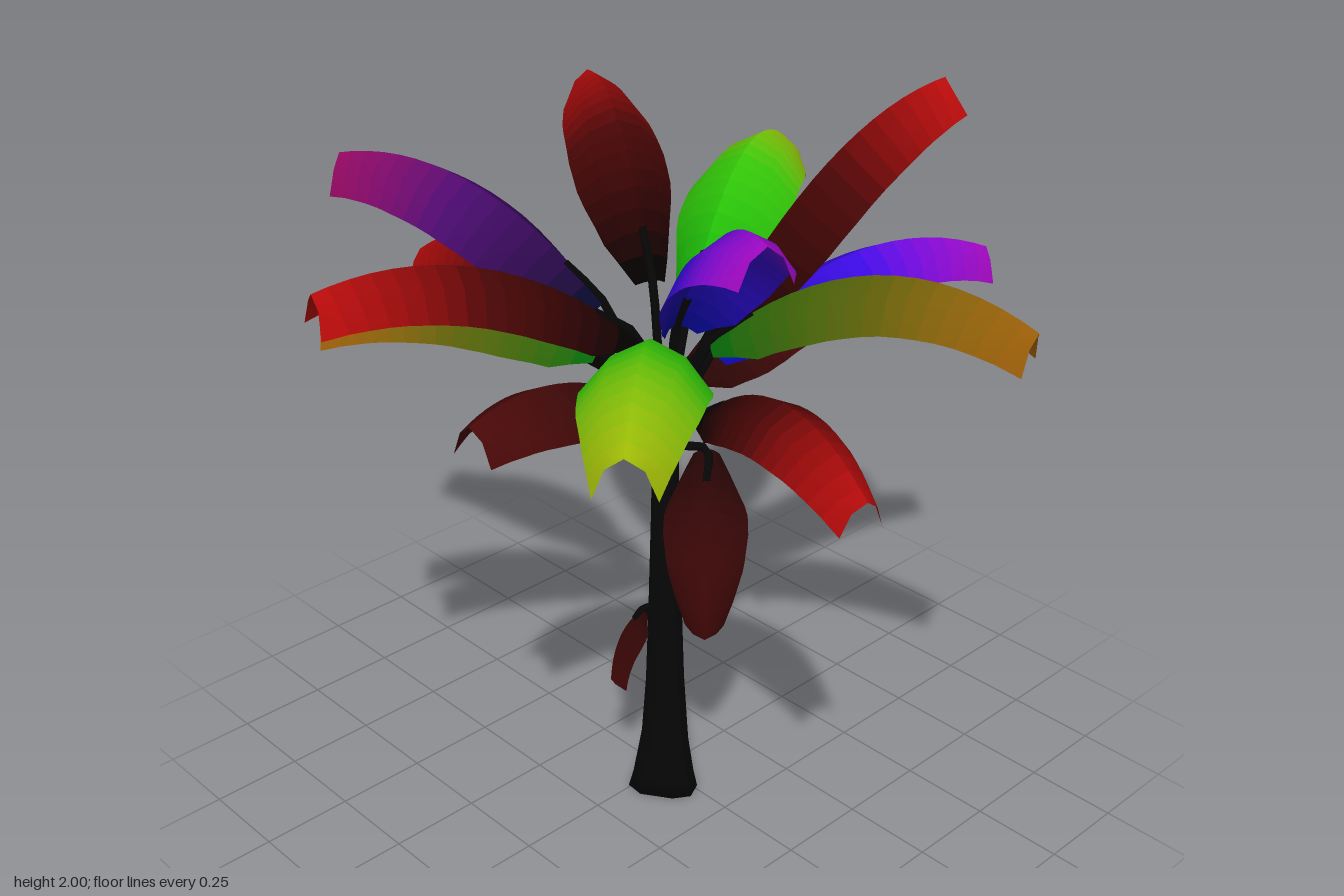
import * as THREE from 'three';

const V = (a) => new THREE.Vector3(...a);
const CROWN = [-0.035, 1.1, 0.045];
const ROWS = 16;

// Half cross-section of a blade, ridge to edge: [side, drop, notch at the tip]
const SECTION = [[0, 0, 0.035], [0.55, 0.26, 0.03], [1, 0.8, 0]];
// Blade half width along its length: [t, share of full width]
const OUTLINE = [[0, 0.3], [0.1, 0.62], [0.28, 0.97], [0.42, 1], [0.65, 0.9], [0.85, 0.68], [1, 0.46]];

function widthAt(t) {
  for (let i = 1; i < OUTLINE.length; i++) {
    const [t0, w0] = OUTLINE[i - 1], [t1, w1] = OUTLINE[i];
    if (t <= t1) return THREE.MathUtils.lerp(w0, w1, (t - t0) / (t1 - t0));
  }
  return OUTLINE[OUTLINE.length - 1][1];
}

// Colour ramps from stalk to tip
const RAMPS = {
  red: [0x040000, 0x4a0505, 0xb40a0a],
  green: [0x08b808, 0x38c808, 0xa8c408],
  violet: [0x0808a8, 0x3c08e0, 0xa208c4],
  magenta: [0x08082c, 0x48086c, 0x900860],
  olive: [0x086c08, 0x585c08, 0x985c08],
  dry: [0x240404, 0x3c0707, 0x4a0808],
};

function rampColor(ramp, t) {
  const [a, b, c] = ramp.map((h) => new THREE.Color(h));
  return t < 0.5 ? a.lerp(b, t * 2) : b.lerp(c, t * 2 - 1);
}

// Start of blade, height of the ridge half way, tip, half width, ramp, outward bow
const FRONDS = [
  ['frontLeftTallFrond', [0.06, 1.38, 0.1], 1.82, [0.56, 2.015, 0.42], 0.13, 'red'],
  ['backFrond', [-0.05, 1.27, -0.13], 1.48, [-0.07, 1.33, -0.95], 0.12, 'red'],
  ['backLeftFrond', [0.04, 1.48, -0.08], 1.8, [0.36, 1.83, -0.69], 0.13, 'red'],
  ['leftGreenFrond', [0.12, 1.4, -0.03], 1.68, [0.89, 1.57, -0.4], 0.15, 'green'],
  ['leftVioletFrond', [0.12, 1.3, 0.06], 1.51, [0.92, 1.44, 0.33], 0.12, 'violet'],
  ['leftDryFrond', [0.08, 1.22, -0.03], 1.32, [0.69, 1.28, -0.04], 0.13, 'dry'],
  ['frontOliveFrond', [0.01, 1.4, 0.16], 1.65, [0.31, 1.56, 0.94], 0.13, 'olive'],
  ['frontRedFrond', [-0.07, 1.25, 0.22], 1.44, [-0.27, 1.34, 0.93], 0.12, 'red'],
  ['frontVioletFrond', [-0.06, 1.45, 0.11], 1.78, [-0.28, 1.85, 0.62], 0.14, 'violet'],
  ['frontRightGreenFrond', [-0.13, 1.38, 0.13], 1.62, [-0.79, 1.55, 0.71], 0.15, 'green'],
  ['rightDryFrond', [-0.15, 1.26, 0.08], 1.42, [-0.75, 1.41, 0.14], 0.13, 'dry'],
  ['rightRedFrond', [-0.13, 1.42, 0.04], 1.68, [-0.93, 1.68, -0.19], 0.13, 'red'],
  ['backRightOliveFrond', [-0.15, 1.35, -0.08], 1.51, [-0.71, 1.47, -0.51], 0.11, 'olive'],
  ['backRightMagentaFrond', [-0.08, 1.44, -0.13], 1.72, [-0.41, 1.74, -0.81], 0.14, 'magenta'],
  ['hangingFrond', [0.02, 1.09, 0.14], 0.88, [-0.1, 0.6, 0.26], 0.11, 'dry', 0.08],
  ['fallenFrond', [-0.09, 0.6, 0.02], 0.5, [-0.15, 0.35, -0.05], 0.07, 'dry', 0.02],
];

// Folded, arched leaf blade, coloured band by band along its length
function makeBlade(curve, start, tip, halfWidth, ramp) {
  const side = new THREE.Vector3(start.z - tip.z, 0, tip.x - start.x).normalize();
  const positions = [], index = [], n = SECTION.length;
  for (let r = 0; r <= ROWS; r++) {
    for (const sign of [-1, 1]) {
      for (const [across, drop, notch] of SECTION) {
        const t = r === ROWS ? 1 - notch : r / ROWS * 0.98;
        const w = halfWidth * widthAt(t);
        const depth = (w * 0.3 + halfWidth * 0.7) * Math.min(1, 0.4 + t * 5);
        const up = new THREE.Vector3().crossVectors(side, curve.getTangent(t));
        const p = curve.getPoint(t)
          .addScaledVector(side, sign * across * w)
          .addScaledVector(up, -drop * depth);
        positions.push(p.x, p.y, p.z);
      }
    }
  }
  for (let r = 0; r < ROWS; r++) {
    for (let half = 0; half < 2; half++) {
      for (let i = 0; i < n - 1; i++) {
        const a = r * 2 * n + half * n + i, b = a + 1, c = a + 2 * n, d = c + 1;
        index.push(...(half ? [a, b, c, b, d, c] : [a, c, b, b, c, d]));
      }
    }
  }
  const whole = new THREE.BufferGeometry();
  whole.setAttribute('position', new THREE.Float32BufferAttribute(positions, 3));
  whole.setIndex(index);
  whole.computeVertexNormals();

  const blade = new THREE.Group();
  blade.name = 'blade';
  const perRow = index.length / ROWS;
  for (let r = 0; r < ROWS; r++) {
    const band = new THREE.BufferGeometry();
    band.setAttribute('position', whole.attributes.position);
    band.setAttribute('normal', whole.attributes.normal);
    band.setIndex(index.slice(r * perRow, (r + 1) * perRow));
    const material = new THREE.MeshStandardMaterial({
      color: rampColor(ramp, r / (ROWS - 1)), side: THREE.DoubleSide,
    });
    const mesh = new THREE.Mesh(band, material);
    mesh.name = 'bladeBand';
    blade.add(mesh);
  }
  return blade;
}

function makeFrond([name, from, midHeight, to, halfWidth, ramp, bow = 0], bark) {
  const start = V(from), tip = V(to);
  // Control point that makes the ridge pass through midHeight, bowed away from the trunk
  const control = start.clone().add(tip).multiplyScalar(0.5);
  control.y = 2 * midHeight - control.y;
  const outward = new THREE.Vector3(tip.x - start.x, 0, tip.z - start.z).normalize();
  control.addScaledVector(outward, 2 * bow);
  const curve = new THREE.QuadraticBezierCurve3(start, control, tip);

  const frond = new THREE.Group();
  frond.name = name;
  frond.add(makeBlade(curve, start, tip, halfWidth, RAMPS[ramp]));

  // Stalk from the crown, running on under the ridge
  const root = V(CROWN);
  root.y = Math.min(root.y, start.y);
  const rib = curve.getPoint(0.14);
  rib.y -= 0.012;
  const path = new THREE.CatmullRomCurve3([root, root.clone().lerp(start, 0.5), start, rib]);
  const stalk = new THREE.Mesh(new THREE.TubeGeometry(path, 8, 0.012, 5), bark);
  stalk.name = 'stalk';
  frond.add(stalk);
  return frond;
}

// Trunk with a flared, uneven foot
function makeTrunk(bark) {
  const profile = [[0, 0.01], [0.092, 0.01], [0.082, 0.06], [0.066, 0.18], [0.054, 0.36],
    [0.046, 0.6], [0.038, 0.9], [0.035, 1.1], [0.045, 1.18], [0, 1.2]];
  const geometry = new THREE.LatheGeometry(profile.map(([x, y]) => new THREE.Vector2(x, y)), 12);
  const p = geometry.attributes.position;
  for (let i = 0; i < p.count; i++) {
    const foot = Math.max(0, 1 - p.getY(i) / 0.2);
    const swell = 1 + 0.15 * foot * Math.cos(3 * Math.atan2(p.getZ(i), p.getX(i)) + 1.8);
    p.setX(i, p.getX(i) * swell);
    p.setZ(i, p.getZ(i) * swell);
  }
  geometry.computeVertexNormals();
  const trunk = new THREE.Mesh(geometry, bark);
  trunk.name = 'trunk';
  trunk.position.set(CROWN[0], 0, CROWN[2]);
  return trunk;
}

export function createModel() {
  const model = new THREE.Group();
  model.name = 'palmTree';
  const bark = new THREE.MeshStandardMaterial({ color: 0x060606 });
  model.add(makeTrunk(bark));
  for (const spec of FRONDS) model.add(makeFrond(spec, bark));
  return model;
}
